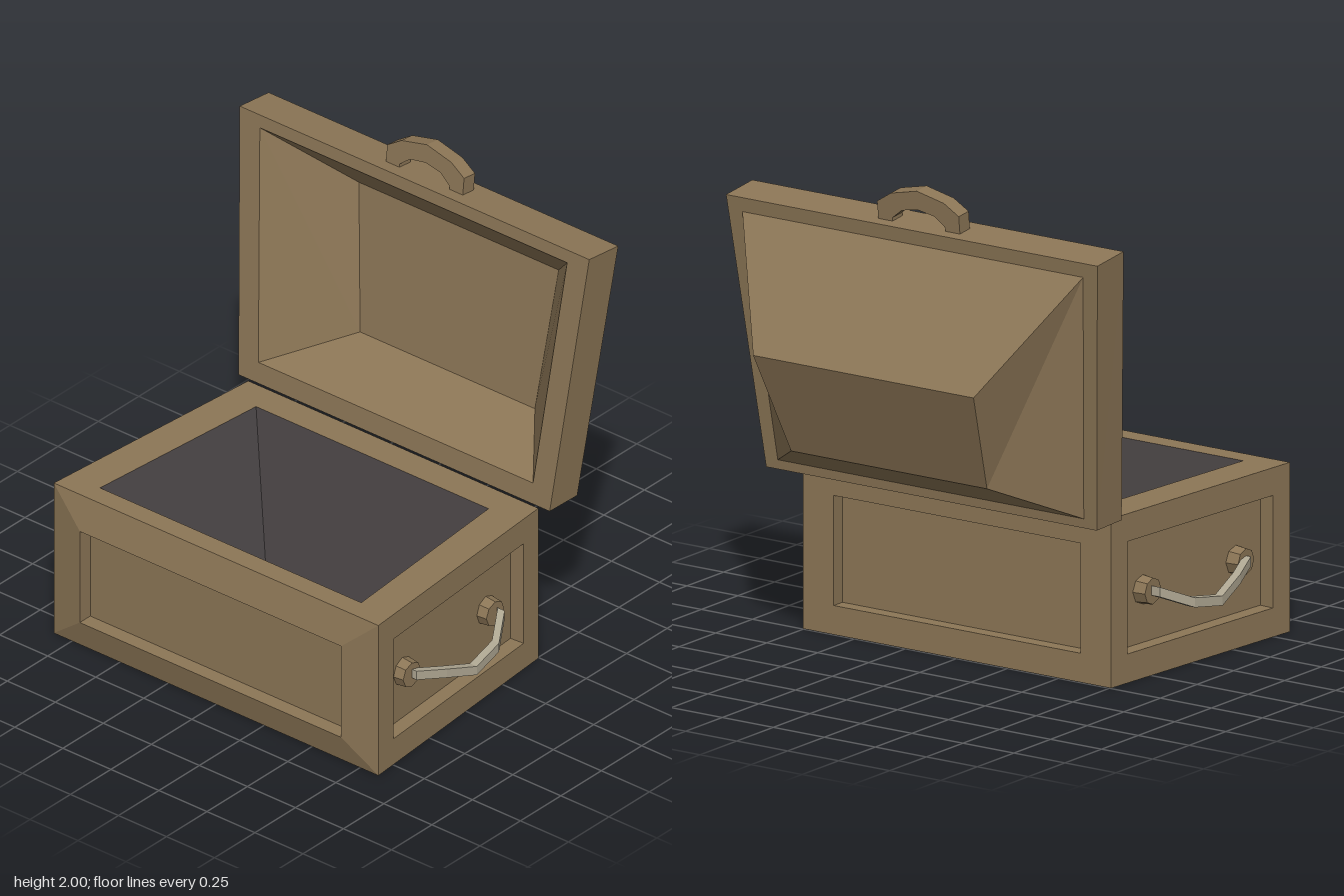
import * as THREE from 'three';

const makeMaterial = (name, color) => {
  const m = new THREE.MeshStandardMaterial({ color, side: THREE.DoubleSide });
  m.name = name;
  return m;
};

// Flat-shaded skin over a series of four-cornered loops; the last loop is closed.
function loft(loops, cap = true) {
  const pos = [];
  const tri = (a, b, c) => pos.push(...a, ...b, ...c);
  for (let k = 0; k < loops.length - 1; k++) {
    const a = loops[k], b = loops[k + 1];
    for (let i = 0; i < 4; i++) {
      const j = (i + 1) % 4;
      if (i === 1) { tri(a[i], a[j], b[i]); tri(a[j], b[j], b[i]); }
      else { tri(a[i], a[j], b[j]); tri(a[i], b[j], b[i]); }
    }
  }
  if (cap) {
    const e = loops[loops.length - 1];
    tri(e[0], e[1], e[2]);
    tri(e[0], e[2], e[3]);
  }
  const g = new THREE.BufferGeometry();
  g.setAttribute('position', new THREE.Float32BufferAttribute(pos, 3));
  g.computeVertexNormals();
  return g;
}

// Mirror loops to the other side and keep them facing outward.
const mirror = (loops, s) => s > 0 ? loops
  : loops.map(l => l.map(([x, y, z]) => [-x, y, z]).reverse());

// Upright rectangle or trapezoid seen from the front (f = 1) or the back (f = -1).
const upright = (f, xb, yb, zb, xt, yt, zt) => [
  [-f * xb, yb, zb], [f * xb, yb, zb], [f * xt, yt, zt], [-f * xt, yt, zt]];

// Level trapezoid seen from above.
const level = (y, xf, zf, xb, zb) => [
  [-xf, y, zf], [xf, y, zf], [xb, y, zb], [-xb, y, zb]];

export function createModel() {
  const model = new THREE.Group();
  model.name = 'chest';
  const wood = makeMaterial('brown wood', 0x8c7656);
  const lining = makeMaterial('dark lining', 0x494445);
  const metal = makeMaterial('pale metal', 0xb0a893);
  const add = (name, geometry, material, parent = model) => {
    const mesh = new THREE.Mesh(geometry, material);
    mesh.name = name;
    parent.add(mesh);
    return mesh;
  };

  // Front wall: bevelled border around a sunken panel
  add('frontWall', loft([
    upright(1, 0.845, 0, 0.85, 0.845, 0.7, 0.85),
    upright(1, 0.68, 0.13, 0.885, 0.68, 0.555, 0.885),
    upright(1, 0.68, 0.13, 0.82, 0.68, 0.555, 0.82)]), wood);

  // Back wall with sunken panel
  add('backWall', loft([
    upright(-1, 0.755, 0, -0.245, 0.755, 0.7, -0.245),
    upright(-1, 0.605, 0.12, -0.245, 0.605, 0.575, -0.245),
    upright(-1, 0.605, 0.12, -0.185, 0.605, 0.575, -0.185)]), wood);

  // Rim and tapered lining
  const opening = level(0.7, 0.68, 0.76, 0.605, -0.115);
  add('rim', loft([level(0.7, 0.845, 0.85, 0.755, -0.245), opening], false), wood);
  add('lining', loft([opening, level(0.11, 0.47, 0.65, 0.42, 0.045)]), lining);

  // Side walls, handle mounts and carrying handles
  const wallX = z => 0.845 - 0.0822 * (0.85 - z);
  const sideLoop = (z0, z1, y0, y1, d) => [[z0, y0], [z1, y0], [z1, y1], [z0, y1]]
    .map(([z, y]) => [wallX(z) - d, y, z + 0.082 * d]);
  const path = [[0.76, 0.345, 0.6], [0.815, 0.345, 0.6], [0.86, 0.31, 0.465],
    [0.885, 0.26, 0.31], [0.865, 0.285, 0.15], [0.785, 0.345, 0.02], [0.72, 0.345, 0.02]];
  const handleLoops = path.map(([x, y, z]) => {
    const w = 0.018, h = 0.02;
    return [[x + w, y - h, z], [x - w, y - h, z], [x - w, y + h, z], [x + w, y + h, z]];
  });
  for (const s of [1, -1]) {
    const side = new THREE.Group();
    side.name = s > 0 ? 'leftSide' : 'rightSide';
    model.add(side);
    add('sideWall', loft(mirror([
      sideLoop(0.85, -0.245, 0, 0.7, 0),
      sideLoop(0.745, -0.145, 0.12, 0.585, 0),
      sideLoop(0.745, -0.145, 0.12, 0.585, 0.065)], s)), wood, side);
    add('carryHandle', loft(mirror(handleLoops, s)), metal, side);
    for (const z of [0.6, 0.03]) {
      const disc = new THREE.CylinderGeometry(0.055, 0.063, 0.07, 8).toNonIndexed();
      disc.computeVertexNormals();
      const mount = add('handleMount', disc, wood, side);
      mount.rotation.z = -s * Math.PI / 2;
      mount.position.set(s * (wallX(z) - 0.05), 0.34, z);
    }
  }

  // Open lid: outer frame with faceted dome, and the hollow inside
  const lid = new THREE.Group();
  lid.name = 'lid';
  model.add(lid);
  add('lidShell', loft([
    upright(-1, 0.81, 0.705, -0.25, 0.91, 1.86, -0.376),
    upright(-1, 0.81, 0.7, -0.42, 0.91, 1.84, -0.555),
    upright(-1, 0.75, 0.74, -0.425, 0.835, 1.78, -0.548),
    upright(-1, 0.48, 0.885, -0.71, 0.54, 1.31, -0.885)]), wood, lid);
  add('lidInside', loft([
    upright(1, 0.81, 0.705, -0.25, 0.91, 1.86, -0.376),
    upright(1, 0.715, 0.795, -0.26, 0.8, 1.805, -0.37),
    upright(1, 0.455, 0.89, -0.58, 0.52, 1.53, -0.65)]), wood, lid);

  // Arched grip on the lid edge
  const arch = new THREE.Shape([
    [-0.2, -0.02], [-0.13, -0.02], [-0.13, 0.01], [-0.08, 0.05], [0, 0.065], [0.08, 0.05],
    [0.13, 0.01], [0.13, -0.02], [0.2, -0.02], [0.2, 0.07], [0.13, 0.115], [0, 0.145],
    [-0.13, 0.115], [-0.2, 0.07]].map(([x, y]) => new THREE.Vector2(x, y)));
  const grip = add('lidGrip', new THREE.ExtrudeGeometry(arch, { depth: 0.068, bevelEnabled: false }), wood, lid);
  grip.position.set(0, 1.85, -0.505);
  grip.rotation.x = -0.11;

  return model;
}
